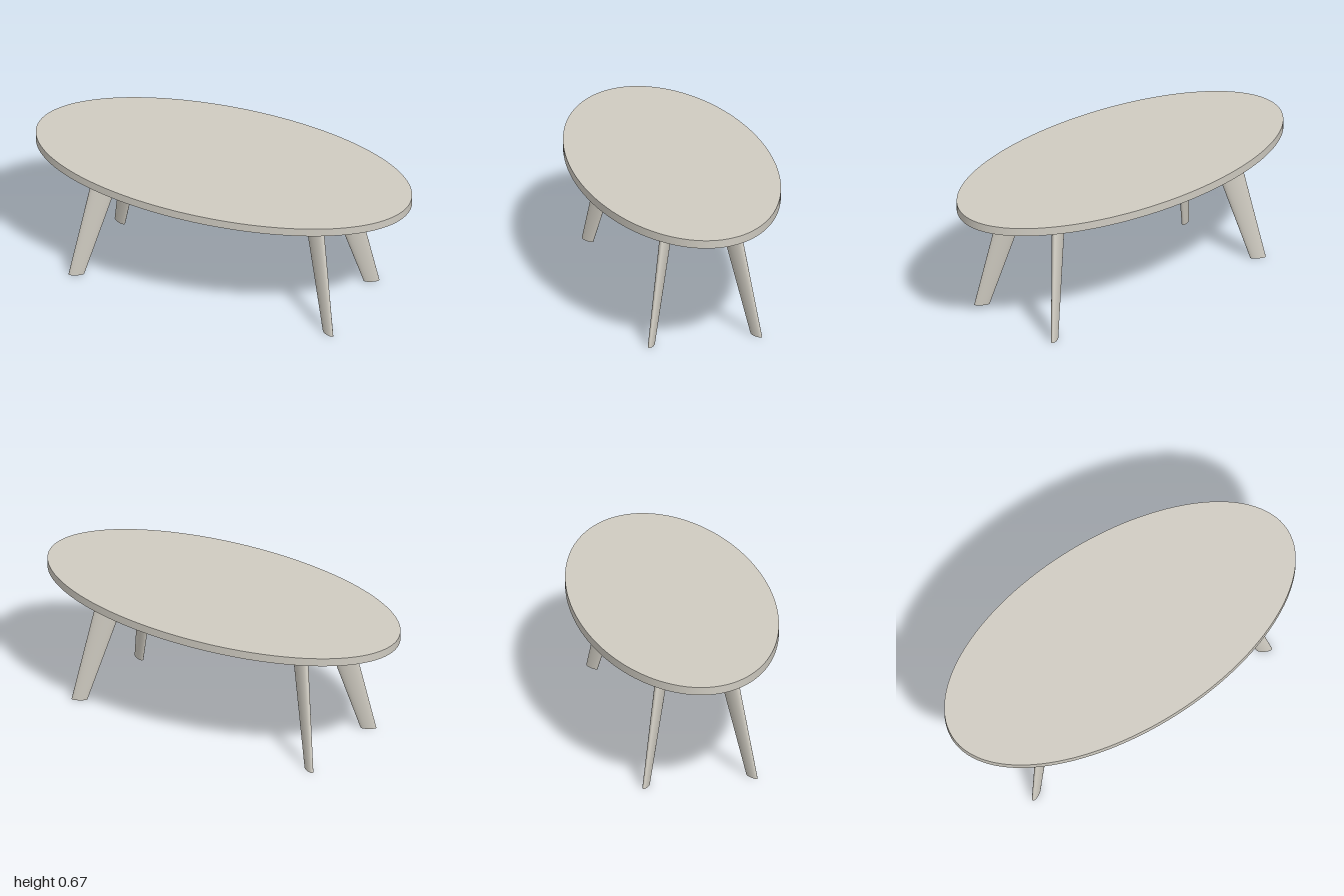
import * as THREE from 'three';

export function createModel() {
  const group = new THREE.Group();
  const paleGrey = new THREE.MeshStandardMaterial({ color: 0xcfcbc1 });
  paleGrey.name = 'paleGrey';

  const topHeight = 0.672, legHeight = 0.63;

  // Oval table top
  const topGeo = new THREE.CylinderGeometry(1, 1, topHeight - legHeight, 128);
  topGeo.scale(1, 1, 0.505);
  topGeo.translate(0, (topHeight + legHeight) / 2, 0);
  const tableTop = new THREE.Mesh(topGeo, paleGrey);
  tableTop.name = 'tableTop';
  group.add(tableTop);

  // Tapered blade-like leg: a flat oval section, sheared outwards to the foot
  function makeLeg(name, sx, sz) {
    const top = [sx * 0.549, sz * 0.15];
    const foot = [sx * 0.685, sz * 0.269];
    const geo = new THREE.CylinderGeometry(1, 0.54, legHeight, 48);
    geo.scale(0.0733, 1, 0.027);
    geo.rotateY(-sx * sz * Math.PI / 6);
    geo.translate(0, legHeight / 2, 0);
    const kx = (top[0] - foot[0]) / legHeight;
    const kz = (top[1] - foot[1]) / legHeight;
    geo.applyMatrix4(new THREE.Matrix4().set(
      1, kx, 0, foot[0],
      0, 1, 0, 0,
      0, kz, 1, foot[1],
      0, 0, 0, 1));
    const leg = new THREE.Mesh(geo, paleGrey);
    leg.name = name;
    group.add(leg);
  }

  makeLeg('frontLeftLeg', 1, 1);
  makeLeg('frontRightLeg', -1, 1);
  makeLeg('backLeftLeg', 1, -1);
  makeLeg('backRightLeg', -1, -1);

  return group;
}
